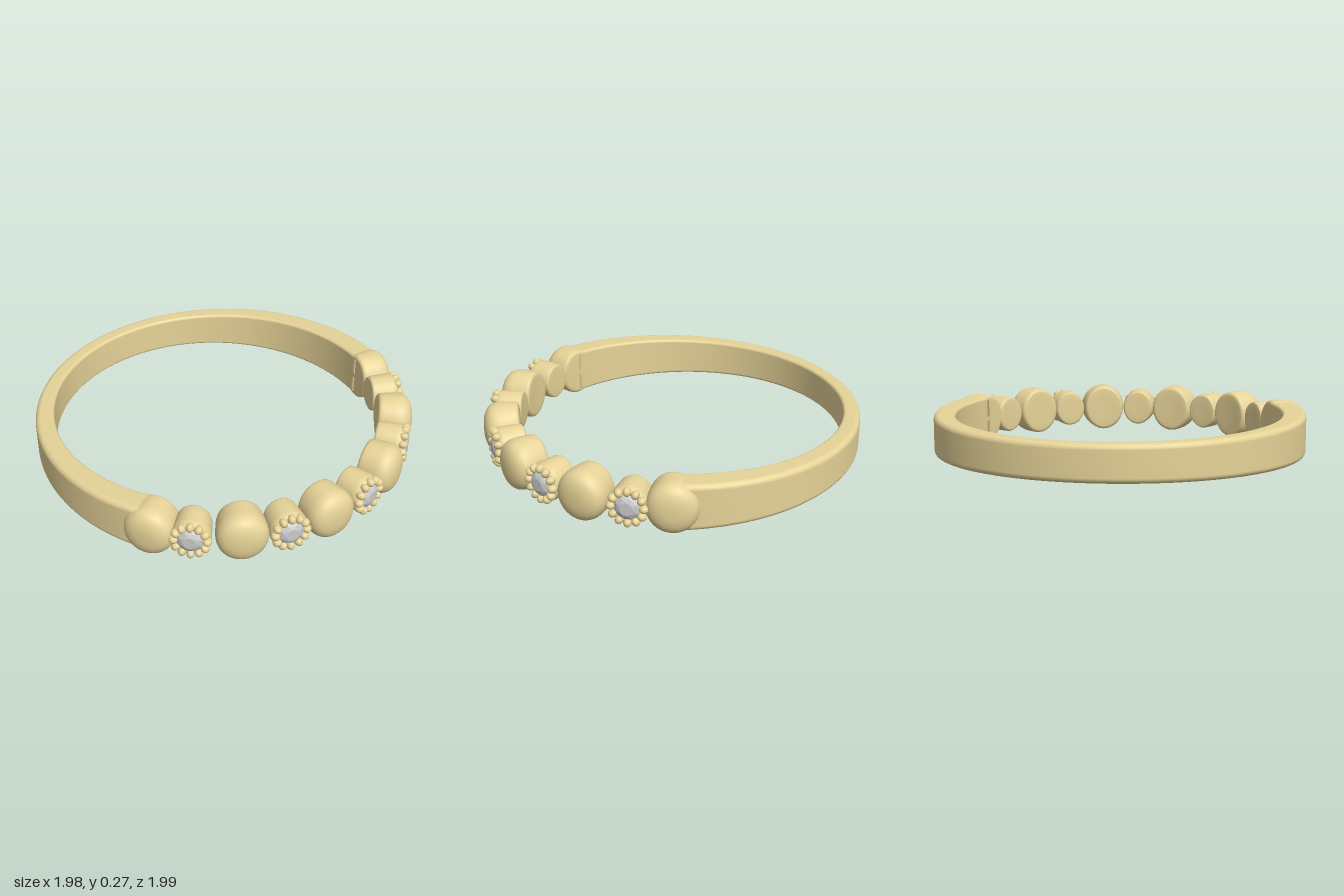
import * as THREE from 'three';
import { mergeVertices } from 'three/addons/utils/BufferGeometryUtils.js';
import { ConvexGeometry } from 'three/addons/geometries/ConvexGeometry.js';

const INNER = 0.865; // finger hole radius
const CZ = -0.05; // finger hole centre in z
const MID = 0.135; // mid height of the ring
const rad = THREE.MathUtils.degToRad;

const gold = new THREE.MeshStandardMaterial({ color: 0xe6d398 });
const stone = new THREE.MeshStandardMaterial({ color: 0xcccccc, flatShading: true });

function smooth(geometry) {
  geometry.deleteAttribute('uv');
  geometry.deleteAttribute('normal');
  const merged = mergeVertices(geometry, 1e-4);
  merged.computeVertexNormals();
  return merged;
}

// Turned shape with its axis pointing outward, bent around the finger hole
function bentLathe(points) {
  const g = new THREE.LatheGeometry(points, 40);
  g.rotateX(Math.PI / 2);
  const p = g.attributes.position;
  for (let i = 0; i < p.count; i++) {
    const r = INNER + p.getZ(i);
    const u = p.getX(i);
    p.setXYZ(i, r * Math.sin(u), p.getY(i), r * Math.cos(u));
  }
  return smooth(g);
}

const profile = (pairs) => pairs.map(([x, y]) => new THREE.Vector2(x, y));

// Shank: rounded section, thinner and lower toward the back
function shankGeometry() {
  const start = rad(67), steps = 120, corner = 5;
  const positions = [], index = [];
  let n = 0;
  for (let i = 0; i <= steps; i++) {
    const a = start + (2 * Math.PI - 2 * start) * (i / steps);
    const s = Math.sin(a), c = Math.cos(a);
    const outer = 0.04 * c + Math.sqrt(0.99 ** 2 - (0.04 * s) ** 2);
    const half = 0.115 + 0.022 * (CZ + c * outer);
    const ring = [];
    // corners in order: outer top, inner top, inner bottom, outer bottom
    [[1, 1], [-1, 1], [-1, -1], [1, -1]].forEach(([sr, sy], k) => {
      const f = sr > 0 ? 0.028 : 0.016;
      const cr = sr > 0 ? outer - f : INNER + f;
      for (let j = 0; j <= corner; j++) {
        const t = (k + j / corner) * Math.PI / 2;
        ring.push([cr + f * Math.cos(t), sy * (half - f) + f * Math.sin(t)]);
      }
    });
    n = ring.length;
    ring.forEach(([r, y]) => positions.push(r * s, y, r * c));
  }
  for (let i = 0; i < steps; i++) {
    for (let j = 0; j < n; j++) {
      const a = i * n + j, b = i * n + (j + 1) % n;
      index.push(a, a + n, b, b, a + n, b + n);
    }
  }
  // end caps, buried in the last domes
  for (let j = 1; j < n - 1; j++) {
    const e = steps * n;
    index.push(0, j, j + 1, e, e + j + 1, e + j);
  }
  const g = new THREE.BufferGeometry();
  g.setAttribute('position', new THREE.Float32BufferAttribute(positions, 3));
  g.setIndex(index);
  g.computeVertexNormals();
  return g;
}

// Faceted stone: small table, wider girdle and a shallow underside
function stoneGeometry() {
  const points = [];
  [[0.034, 0.172, 8, 0], [0.054, 0.163, 8, 0.5], [0.066, 0.15, 16, 0], [0.03, 0.12, 8, 0]]
    .forEach(([r, z, count, turn]) => {
      for (let i = 0; i < count; i++) {
        const t = ((i + turn) / count) * Math.PI * 2;
        points.push(new THREE.Vector3(r * Math.cos(t), r * Math.sin(t), z));
      }
    });
  return new ConvexGeometry(points);
}

export function createModel() {
  const model = new THREE.Group();
  model.name = 'ring';

  const add = (parent, name, geometry, material = gold) => {
    const mesh = new THREE.Mesh(geometry, material);
    mesh.name = name;
    parent.add(mesh);
    return mesh;
  };
  const station = (name, degrees) => {
    const g = new THREE.Group();
    g.name = name;
    g.position.set(0, MID, CZ);
    g.rotation.y = rad(degrees);
    model.add(g);
    return g;
  };

  add(model, 'shank', shankGeometry()).position.set(0, MID, CZ);

  // Polished domes
  const crown = new THREE.SplineCurve(profile([
    [0.132, 0.04], [0.133, 0.09], [0.13, 0.122], [0.118, 0.15],
    [0.092, 0.172], [0.05, 0.185], [0, 0.188],
  ])).getPoints(24);
  crown[crown.length - 1].x = 0;
  const domeGeometry = bentLathe([
    ...profile([[0, 0], [0.04, 0], [0.08, 0], [0.112, 0], [0.122, 0.003], [0.129, 0.01], [0.131, 0.02]]),
    ...crown,
  ]);
  for (const angle of [13.6, 40.6, 66.8]) {
    for (const side of [1, -1]) add(station('domeStation', side * angle), 'dome', domeGeometry);
  }

  // Stone settings with a beaded rim
  const cupGeometry = bentLathe(profile([
    [0, 0], [0.05, 0], [0.088, 0], [0.096, 0.004], [0.1, 0.014], [0.101, 0.06], [0.1, 0.11],
    [0.098, 0.128], [0.09, 0.142], [0.078, 0.148], [0.068, 0.146], [0.062, 0.136], [0, 0.134],
  ]));
  const gemGeometry = stoneGeometry();
  const beadGeometry = new THREE.SphereGeometry(0.021, 14, 10);
  const beads = 12;
  for (const angle of [0, 27.4, -27.4, 54.8, -54.8]) {
    const setting = station('stoneSetting', angle);
    add(setting, 'cup', cupGeometry);
    add(setting, 'stone', gemGeometry, stone).position.z = INNER;
    for (let i = 0; i < beads; i++) {
      const t = (i / beads) * Math.PI * 2;
      const bead = add(setting, 'bead', beadGeometry);
      bead.position.set(0.081 * Math.cos(t), 0.081 * Math.sin(t), INNER + 0.148);
      bead.rotation.z = t;
      bead.scale.set(1.1, 0.95, 1.2);
    }
  }
  return model;
}
